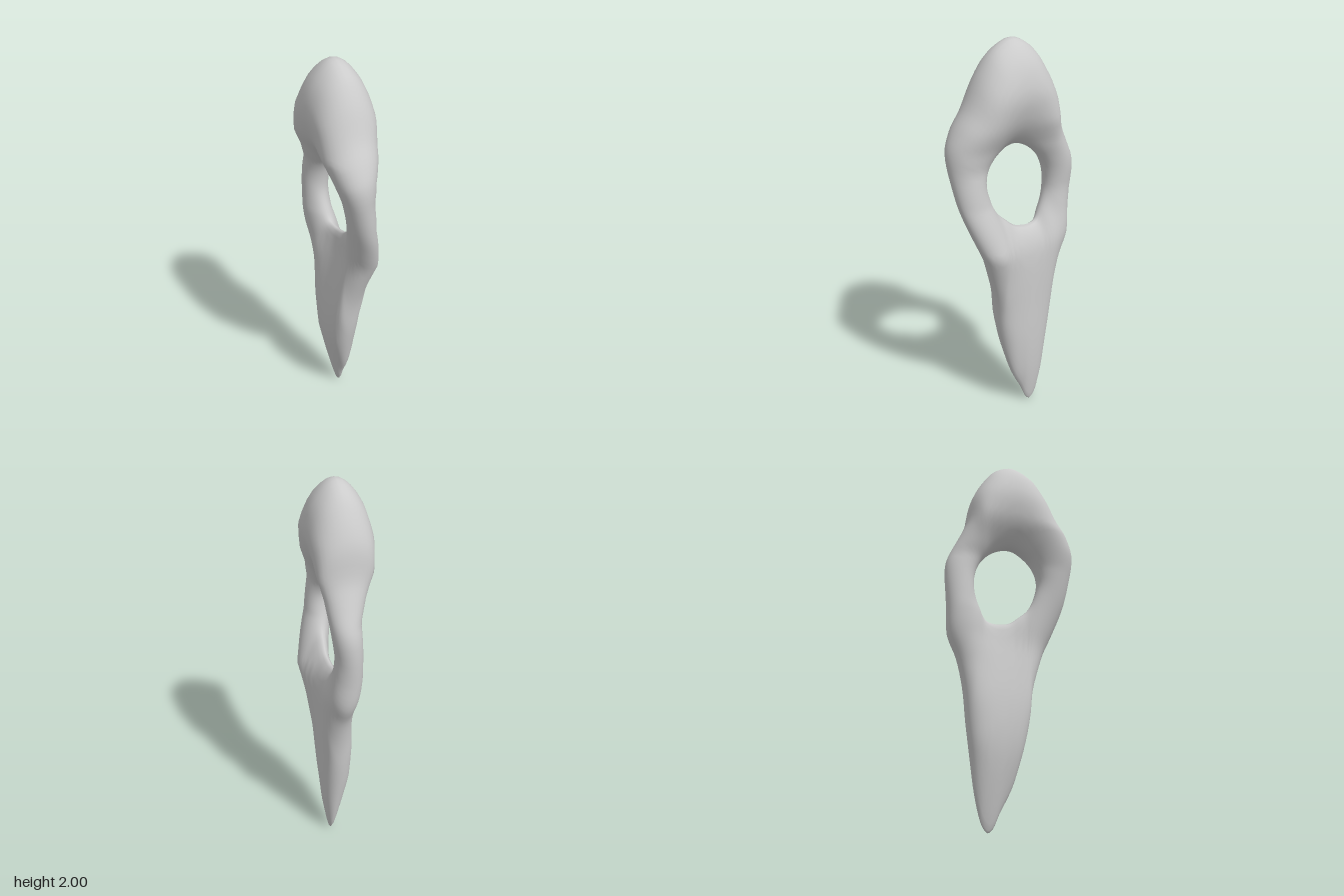
import * as THREE from 'three';

// Closed smooth curve through [z, y] pairs, starting at the top and running towards +z
const loop = (pts) => new THREE.CatmullRomCurve3(
  pts.map(([z, y]) => new THREE.Vector3(0, y, z)), true, 'centripetal');

// Outer edge of the blade
const outer = loop([
  [0, 2], [0.1, 1.955], [0.18, 1.85], [0.25, 1.7], [0.31, 1.6], [0.348, 1.5], [0.34, 1.35], [0.315, 1.2],
  [0.265, 1.05], [0.205, 0.9], [0.14, 0.7], [0.11, 0.5], [0.075, 0.35], [0.03, 0.2], [-0.02, 0.1], [-0.055, 0.02],
  [-0.08, 0], [-0.11, 0.03], [-0.14, 0.12], [-0.175, 0.3], [-0.205, 0.5], [-0.225, 0.68], [-0.26, 0.83], [-0.315, 0.95],
  [-0.33, 1.1], [-0.342, 1.3], [-0.33, 1.38], [-0.28, 1.5], [-0.24, 1.6], [-0.215, 1.75], [-0.16, 1.87], [-0.09, 1.96],
]);

// Rim of the hole, paired with the outer edge by curve parameter
const inner = loop([
  [0, 1.49], [0.06, 1.475], [0.12, 1.43], [0.165, 1.34], [0.155, 1.25], [0.12, 1.17], [0.07, 1.12], [0.02, 1.08],
  [-0.03, 1.065], [-0.07, 1.06], [-0.12, 1.07], [-0.155, 1.12], [-0.19, 1.22], [-0.18, 1.33], [-0.14, 1.41], [-0.07, 1.47],
]);

// Height, centre x, half thickness, sideways lean per unit z
const LEVELS = [
  [0, 0.06, 0.035, 0], [0.2, 0.05, 0.06, 0], [0.4, 0.035, 0.075, 0], [0.6, 0.035, 0.073, 0],
  [0.8, 0.052, 0.07, 0.04], [0.96, 0.066, 0.075, 0.1], [1.1, 0.04, 0.07, 0.06], [1.22, 0.022, 0.066, 0],
  [1.4, 0.012, 0.076, -0.09], [1.5, 0.002, 0.1, -0.09], [1.6, -0.003, 0.135, -0.06], [1.75, 0, 0.151, 0],
  [1.9, 0, 0.142, 0], [2, 0, 0.12, 0],
];

function levelAt(y) {
  let k = 0;
  while (k < LEVELS.length - 2 && LEVELS[k + 1][0] < y) k++;
  const a = LEVELS[k], b = LEVELS[k + 1];
  const t = THREE.MathUtils.clamp((y - a[0]) / (b[0] - a[0]), 0, 1);
  return [1, 2, 3].map((c) => THREE.MathUtils.lerp(a[c], b[c], t));
}

// Rounded ring: elliptical sections from the hole rim out to the outer edge
function ringGeometry(around = 128, section = 32) {
  const pos = [], index = [];
  for (let i = 0; i < around; i++) {
    const p = inner.getPoint(i / around), q = outer.getPoint(i / around);
    for (let j = 0; j < section; j++) {
      const a = (j / section) * Math.PI * 2;
      const v = p.clone().lerp(q, (1 - Math.cos(a)) / 2);
      const [centre, half, lean] = levelAt(v.y);
      pos.push(centre + lean * v.z + half * Math.sin(a), Math.max(v.y, 0), v.z);

      const i2 = (i + 1) % around, j2 = (j + 1) % section;
      const A = i * section + j, B = i * section + j2, C = i2 * section + j2, D = i2 * section + j;
      index.push(A, B, D, B, C, D);
    }
  }
  const geo = new THREE.BufferGeometry();
  geo.setAttribute('position', new THREE.Float32BufferAttribute(pos, 3));
  geo.setIndex(index);
  geo.computeVertexNormals();
  return geo;
}

export function createModel() {
  const group = new THREE.Group();
  group.name = 'piercedBlade';
  const body = new THREE.Mesh(ringGeometry(), new THREE.MeshStandardMaterial({ color: 0xcccccc }));
  body.name = 'body';
  group.add(body);
  return group;
}
